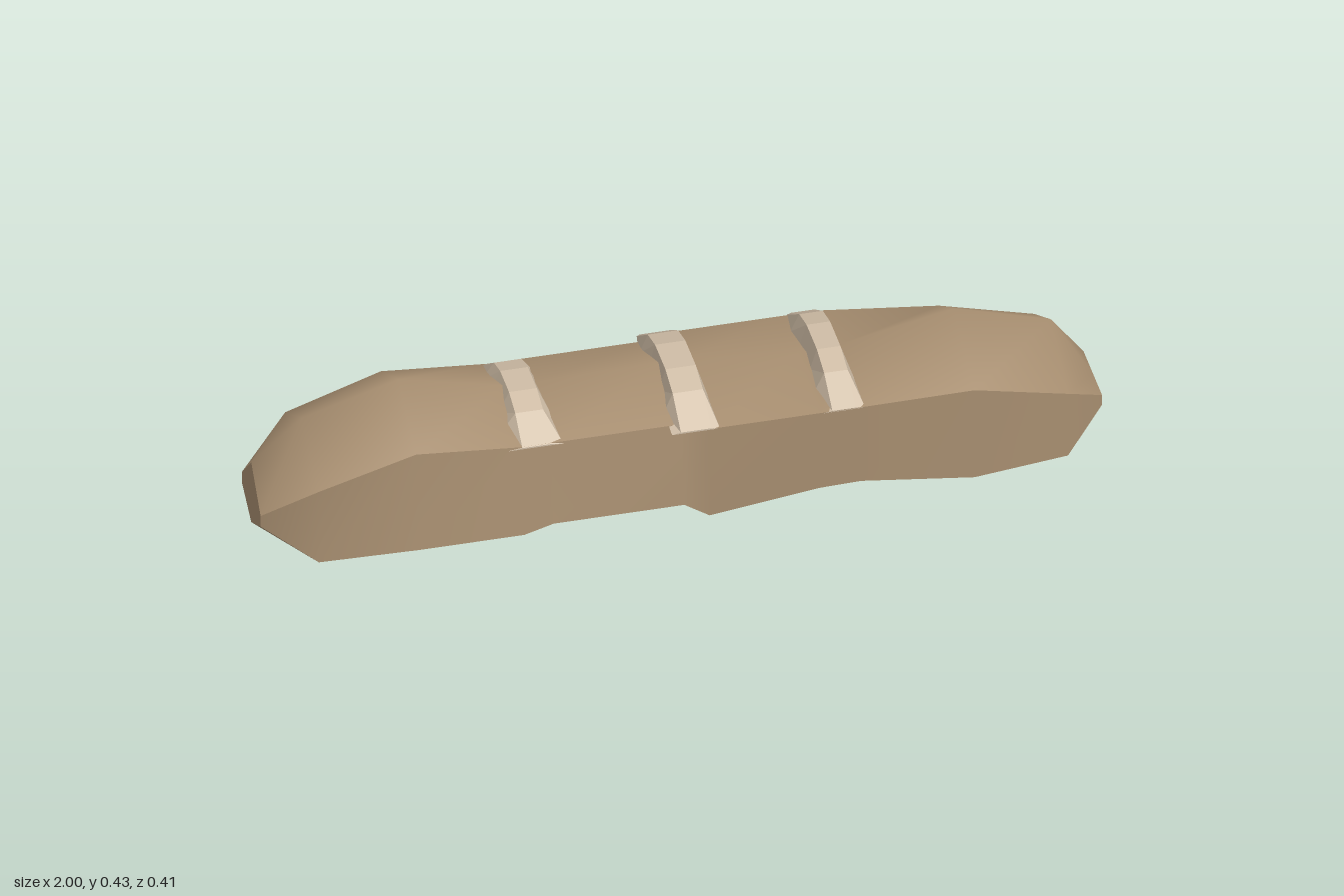
import * as THREE from 'three';

// Skins a list of sections; each band of points [from..to] is shaded smoothly on its own.
function loft(sections, bands, smooth) {
  const pos = [], idx = [];
  for (const band of bands) {
    const base = pos.length / 3, n = band.length;
    sections.forEach(s => band.forEach(j => pos.push(...s[j])));
    for (let i = 0; i < sections.length - 1; i++) {
      for (let j = 0; j < n - 1; j++) {
        const a = base + i * n + j, b = a + n;
        idx.push(a, b, b + 1, a, b + 1, a + 1);
      }
    }
  }
  // End caps
  [sections[0], sections[sections.length - 1]].forEach((s, end) => {
    const base = pos.length / 3;
    s.forEach(p => pos.push(...p));
    for (let k = 1; k < s.length - 1; k++) {
      if (end) idx.push(base, base + k + 1, base + k);
      else idx.push(base, base + k, base + k + 1);
    }
  });
  let g = new THREE.BufferGeometry();
  g.setAttribute('position', new THREE.Float32BufferAttribute(pos, 3));
  g.setIndex(idx);
  if (!smooth) g = g.toNonIndexed();
  g.computeVertexNormals();
  return g;
}

export function createModel() {
  const model = new THREE.Group();
  const crust = new THREE.MeshStandardMaterial({ color: 0xa78e70 });
  const crumb = new THREE.MeshStandardMaterial({ color: 0xcfbda6 });

  // Loaf stations: x, ridge y, upper edge y, front z, back z, lower edge y, front z, back z, bottom y
  const stations = [
    [-1.0, 0.25, 0.16, 0.09, -0.09, 0.13, 0.09, -0.09, 0.08],
    [-0.88, 0.355, 0.26, 0.165, -0.16, 0.06, 0.165, -0.16, 0.005],
    [-0.65, 0.425, 0.33, 0.17, -0.17, 0.08, 0.2, -0.195, 0],
    [-0.4, 0.365, 0.308, 0.17, -0.17, 0.08, 0.2, -0.2, 0],
    [-0.33, 0.362, 0.308, 0.17, -0.17, 0.1, 0.2, -0.208, 0],
    [-0.02, 0.367, 0.308, 0.17, -0.17, 0.1, 0.2, -0.208, 0],
    [0.04, 0.367, 0.305, 0.2, -0.195, 0.06, 0.2, -0.195, 0],
    [0.3, 0.335, 0.305, 0.2, -0.195, 0.093, 0.2, -0.195, 0],
    [0.4, 0.345, 0.305, 0.2, -0.195, 0.096, 0.2, -0.195, 0],
    [0.67, 0.4, 0.307, 0.2, -0.145, 0.06, 0.2, -0.195, 0],
    [0.9, 0.33, 0.235, 0.168, -0.158, 0.06, 0.168, -0.158, 0.005],
    [1.0, 0.16, 0.16, 0.09, -0.09, 0.133, 0.09, -0.09, 0.077],
  ];
  const rings = stations.map(([x, top, uy, uf, ub, ly, lf, lb, bot]) => [
    [x, uy, uf], [x, top, 0], [x, uy, ub],
    [x, ly, lb], [x, bot, 0], [x, ly, lf],
  ]);
  // Bands: top crust, back, underside, front
  const loaf = new THREE.Mesh(
    loft(rings, [[0, 1, 2], [2, 3], [3, 4, 5], [5, 0]], true), crust);
  loaf.name = 'loaf';
  model.add(loaf);

  // Raised scores across the top: centre x, half length, base and crest half widths, crest y
  const scores = [
    [-0.365, 0.172, 0.065, 0.033, 0.376],
    [0.008, 0.2, 0.057, 0.036, 0.382],
    [0.36, 0.2, 0.05, 0.028, 0.377],
  ];
  // Along the score: z fraction, crest rise, sunk base rise, width factor
  const steps = [
    [-1, 0.02, -0.03, 0.75], [-0.6, 0.74, 0.1, 1], [-0.25, 1, 0.25, 0.9],
    [0.25, 1, 0.25, 0.9], [0.6, 0.74, 0.1, 1], [1, 0.02, -0.03, 1],
  ];
  scores.forEach(([cx, len, base, crest, top], i) => {
    const sections = steps.map(([f, rise, sink, w]) => {
      const z = f * len, h = top - 0.305;
      const yTop = 0.305 + h * rise, yBase = 0.305 + h * sink;
      return [
        [cx - base * w, yBase, z], [cx - crest, yTop, z],
        [cx + crest, yTop, z], [cx + base * w, yBase, z],
      ];
    });
    const score = new THREE.Mesh(loft(sections, [[0, 1, 2, 3]], false), crumb);
    score.name = 'score' + (i + 1);
    model.add(score);
  });
  return model;
}
